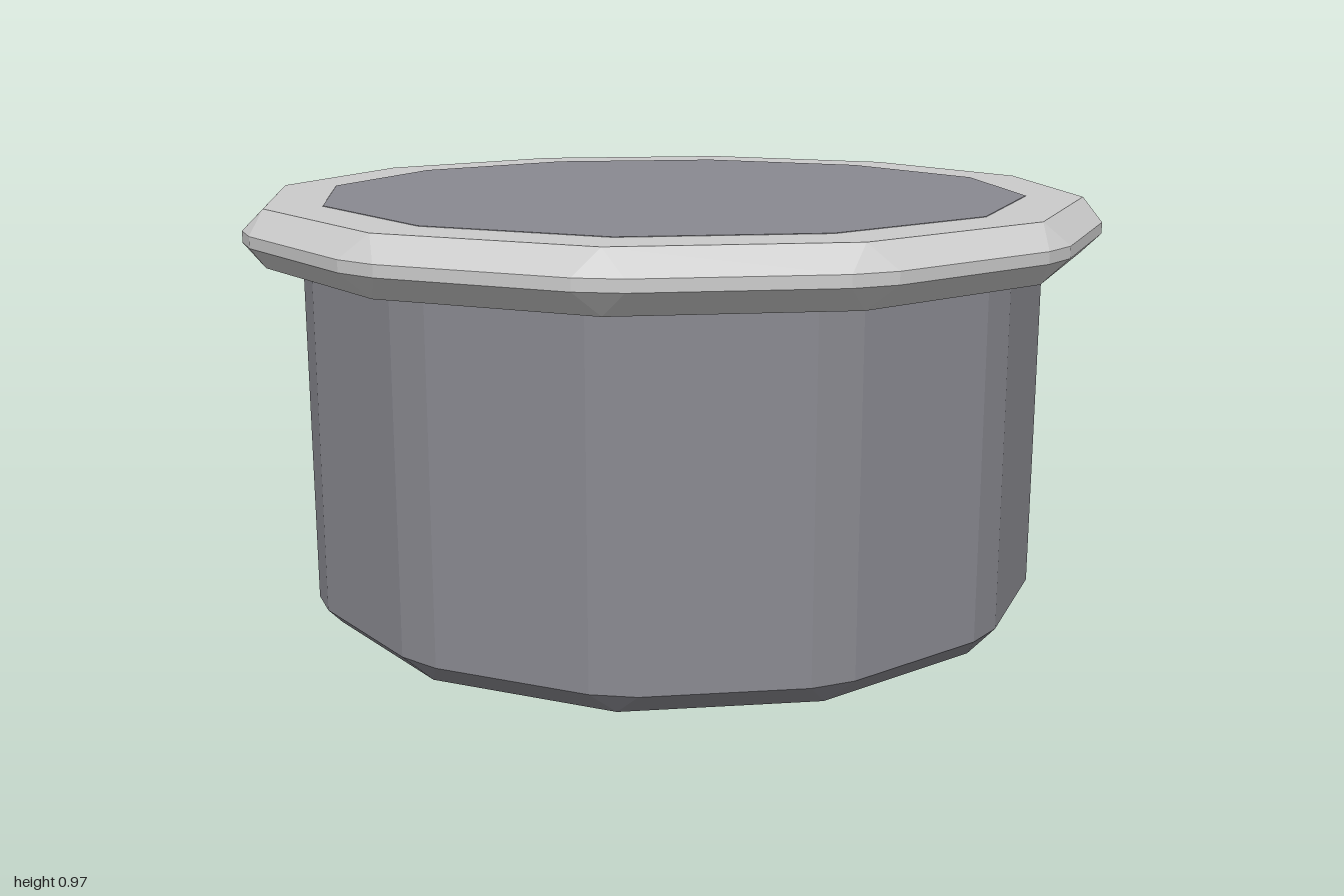
import * as THREE from 'three';
import { ConvexGeometry } from 'three/addons/geometries/ConvexGeometry.js';

const SIDES = 12;
const BEVEL = 0.052;

// Twelve-sided prism with every edge chamfered: each side corner becomes two
// points, each cap corner moves inward.
function bevelledPrism(name, radius, y0, y1, color) {
  const points = [];
  const half = Math.PI / SIDES;
  const capRadius = radius - BEVEL / Math.cos(half);
  const out = radius - BEVEL * Math.sin(half);
  const across = BEVEL * Math.cos(half);
  for (let i = 0; i < SIDES; i++) {
    const a = i * 2 * half;
    const c = Math.cos(a), s = Math.sin(a);
    for (const y of [y0, y1]) points.push(new THREE.Vector3(c * capRadius, y, s * capRadius));
    for (const y of [y0 + BEVEL, y1 - BEVEL]) {
      for (const t of [-across, across]) {
        points.push(new THREE.Vector3(c * out - s * t, y, s * out + c * t));
      }
    }
  }
  const material = new THREE.MeshStandardMaterial({ color, flatShading: true });
  const mesh = new THREE.Mesh(new ConvexGeometry(points), material);
  mesh.name = name;
  return mesh;
}

export function createModel() {
  const group = new THREE.Group();
  group.name = 'lowPolyPot';

  // Dark pot body, reaching up through the rim
  group.add(bevelledPrism('body', 0.883, 0, 0.971, 0x8a8a91));

  // Wide rim around the top
  group.add(bevelledPrism('rim', 1.013, 0.84, 0.97, 0xcccccc));

  // Yellow filling, just level with the top
  group.add(bevelledPrism('filling', 0.705, 0.8, 0.9695, 0xf9de7d));

  return group;
}
